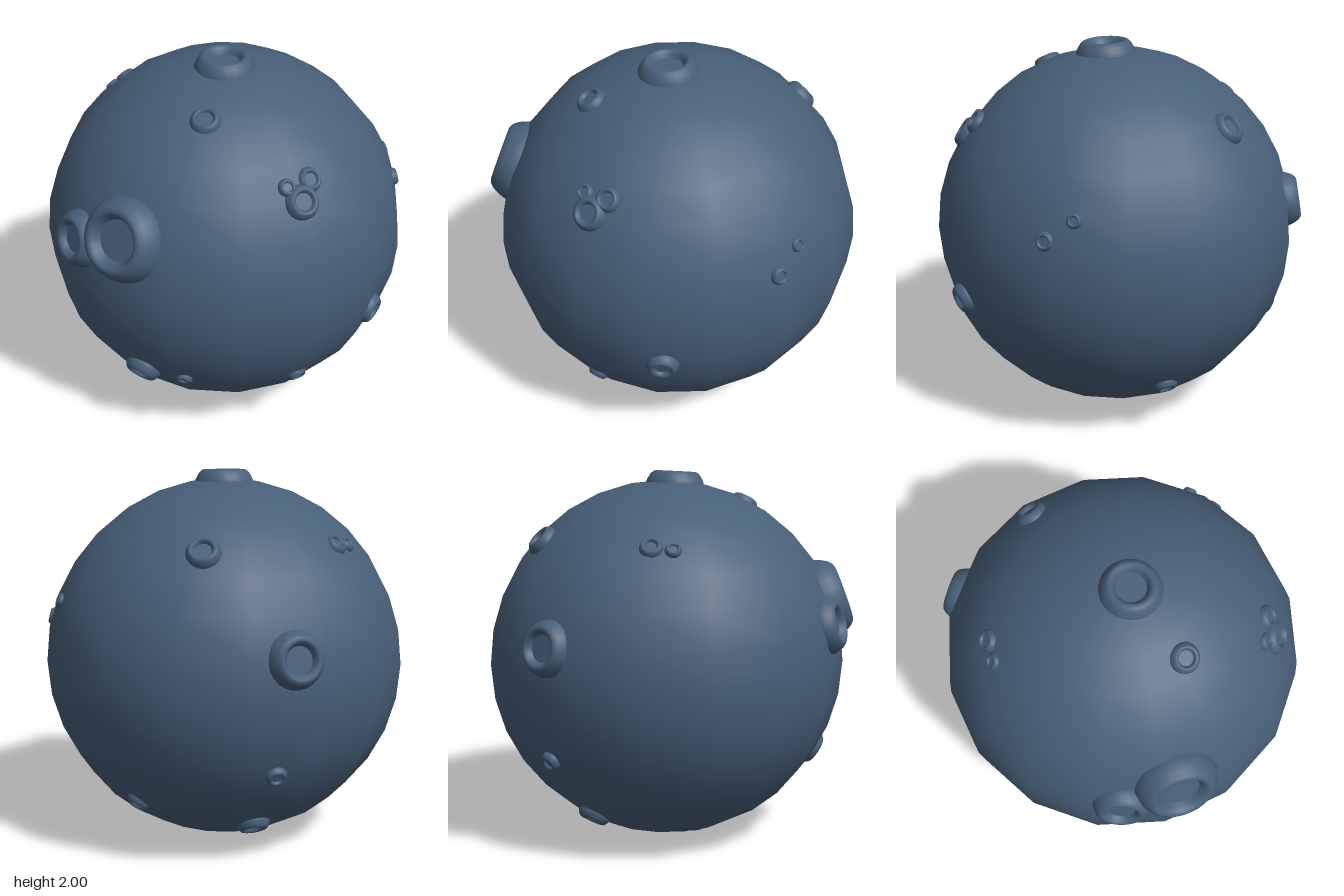
import * as THREE from 'three';

const RADIUS = 0.972;

// Crater centre relative to the globe centre (x, y, z), then outer radius
const CRATERS = [
  [-0.045, 0.97, 0.035, 0.16],
  [-0.9, 0.34, 0.065, 0.22],
  [-0.91, 0.23, -0.236, 0.15],
  [0.5, 0.173, -0.81, 0.145],
  [-0.414, 0.85, 0.21, 0.08],
  [0.62, 0.67, -0.33, 0.09],
  [-0.017, 0.67, -0.7, 0.06],
  [-0.127, 0.66, -0.7, 0.042],
  [-0.81, -0.515, 0.09, 0.1],
  [-0.764, -0.49, 0.34, 0.045],
  [-0.31, -0.54, 0.74, 0.055],
  [0.076, -0.243, 0.936, 0.085],
  [-0.317, 0.54, 0.74, 0.09],
  [-0.227, 0.616, 0.714, 0.065],
  [-0.35, 0.61, 0.668, 0.045],
  [0.63, 0.24, 0.7, 0.048],
  [0.7, 0.35, 0.575, 0.038],
  [0.693, -0.674, 0.05, 0.065],
  [0.335, -0.797, -0.435, 0.092],
  [0.51, -0.437, -0.7, 0.055],
  [-0.18, -0.95, -0.07, 0.07],
  [-0.115, -0.92, 0.28, 0.052],
  [-0.05, -0.925, 0.29, 0.032],
];

// Rim cross-section for a crater of radius 1, from buried skirt to floor edge
const RIM = [
  [1.04, -0.45], [1.01, -0.12], [0.95, 0.04], [0.86, 0.2], [0.76, 0.3],
  [0.67, 0.33], [0.59, 0.28], [0.53, 0.19], [0.48, 0.09],
].map(([x, y]) => new THREE.Vector2(x, y));

export function createModel() {
  const model = new THREE.Group();
  const rock = new THREE.MeshStandardMaterial({ color: 0x475f78 });
  rock.name = 'slateBlueRock';

  // Globe
  const moon = new THREE.Group();
  moon.name = 'moon';
  moon.position.set(0.017, 0.98, 0);
  const globe = new THREE.Mesh(new THREE.SphereGeometry(RADIUS, 16, 16), rock);
  globe.name = 'globe';
  moon.add(globe);

  // Raised craters: a rounded rim ring around a flat floor
  const rimGeometry = new THREE.LatheGeometry(RIM, 24);
  const floorGeometry = new THREE.CircleGeometry(0.48, 24);
  floorGeometry.rotateX(-Math.PI / 2).translate(0, 0.09, 0);
  const up = new THREE.Vector3(0, 1, 0);
  for (const [x, y, z, size] of CRATERS) {
    const direction = new THREE.Vector3(x, y, z).normalize();
    const crater = new THREE.Group();
    crater.name = 'crater';
    crater.position.copy(direction).multiplyScalar(RADIUS - 0.005);
    crater.quaternion.setFromUnitVectors(up, direction);
    crater.scale.setScalar(size);
    const rim = new THREE.Mesh(rimGeometry, rock);
    rim.name = 'craterRim';
    const floor = new THREE.Mesh(floorGeometry, rock);
    floor.name = 'craterFloor';
    crater.add(rim, floor);
    moon.add(crater);
  }

  model.add(moon);
  return model;
}
